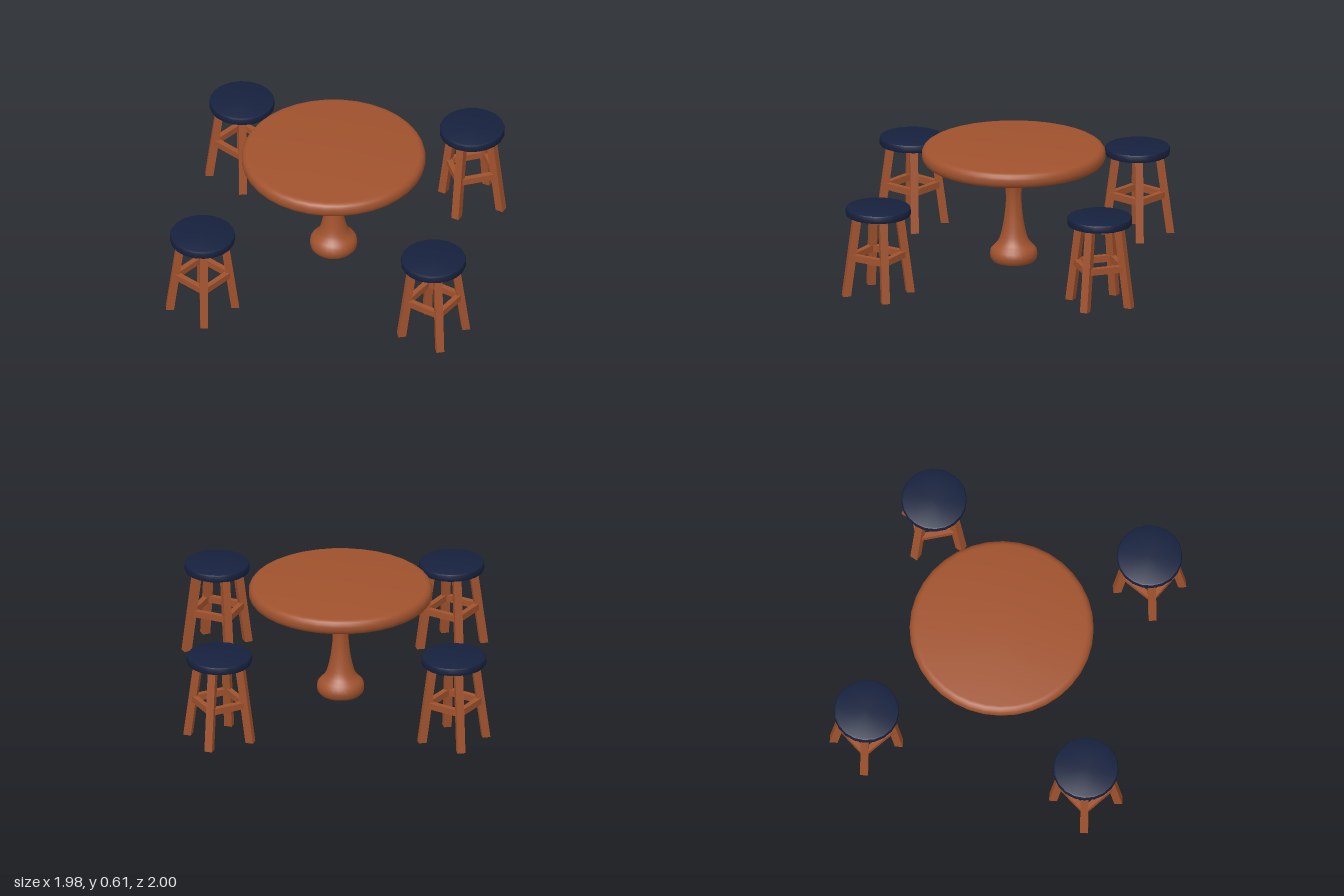
import * as THREE from 'three';
import { toCreasedNormals } from 'three/addons/utils/BufferGeometryUtils.js';

const wood = new THREE.MeshStandardMaterial({ color: 0xa0522d });
const navy = new THREE.MeshStandardMaterial({ color: 0x16213e });

const LEG_TOP = 0.425, FOOT_R = 0.165, HEAD_R = 0.108;

function addMesh(parent, name, geometry, material) {
  const mesh = new THREE.Mesh(geometry, material);
  mesh.name = name;
  parent.add(mesh);
  return mesh;
}

function lathe(points, sides) {
  const geometry = new THREE.LatheGeometry(points.map(([r, y]) => new THREE.Vector2(r, y)), sides);
  return toCreasedNormals(geometry, 0.75);
}

// Disc with a rounded rim, from y0 to y1
function roundedDisc(radius, y0, y1, round, sides, steps) {
  const points = [[0, y0]];
  for (const [cy, start] of [[y0 + round, -Math.PI / 2], [y1 - round, 0]]) {
    for (let i = 0; i <= steps; i++) {
      const a = start + (i / steps) * Math.PI / 2;
      points.push([radius - round + Math.cos(a) * round, cy + Math.sin(a) * round]);
    }
  }
  points.push([0, y1]);
  return lathe(points, sides);
}

function createTable() {
  const table = new THREE.Group();
  table.name = 'table';
  addMesh(table, 'tableTop', roundedDisc(0.465, 0.53, 0.61, 0.034, 36, 4), wood);

  // Turned pedestal: wide foot, slim waist, flared head
  const flare = new THREE.SplineCurve([
    [0.103, 0.085], [0.075, 0.12], [0.056, 0.19], [0.043, 0.28],
    [0.04, 0.36], [0.049, 0.43], [0.066, 0.49], [0.083, 0.535],
  ].map(([r, y]) => new THREE.Vector2(r, y)));
  const profile = [[0, 0.01], [0.105, 0.01], [0.117, 0.025], [0.12, 0.045], [0.116, 0.07],
    ...flare.getPoints(20).map((p) => [p.x, p.y]), [0, 0.535]];
  addMesh(table, 'pedestal', lathe(profile, 28), wood);
  return table;
}

// Square leg sheared outward so that the foot stays flat on the floor
function legGeometry() {
  const geometry = new THREE.BoxGeometry(0.04, LEG_TOP, 0.04).translate(0, LEG_TOP / 2, 0);
  const pos = geometry.attributes.position;
  for (let i = 0; i < pos.count; i++) {
    const lean = THREE.MathUtils.lerp(FOOT_R, HEAD_R, pos.getY(i) / LEG_TOP);
    pos.setX(i, pos.getX(i) + lean);
  }
  geometry.computeVertexNormals();
  return geometry;
}

function createStool() {
  const stool = new THREE.Group();
  addMesh(stool, 'seat', roundedDisc(0.165, 0.417, 0.46, 0.01, 20, 2), navy);

  const rungY = 0.203;
  const rungR = THREE.MathUtils.lerp(FOOT_R, HEAD_R, rungY / LEG_TOP);
  const leg = legGeometry();
  const rung = new THREE.BoxGeometry(0.028, 0.034, rungR * Math.SQRT2)
    .translate(rungR * Math.SQRT1_2, rungY, 0);
  for (let i = 0; i < 4; i++) {
    addMesh(stool, 'leg', leg, wood).rotation.y = i * Math.PI / 2;
    addMesh(stool, 'rung', rung, wood).rotation.y = (i + 0.5) * Math.PI / 2;
  }
  return stool;
}

export function createModel() {
  const model = new THREE.Group();
  model.name = 'tableWithStools';

  const table = createTable();
  table.position.set(0.005, 0, -0.045);
  model.add(table);

  // Each stool: name, x, z, turn in degrees
  for (const [name, x, z, turn] of [
    ['frontStool', 0.02, 0.818, -24],
    ['backStool', -0.01, -0.835, -33],
    ['leftStool', 0.815, 0.015, -63],
    ['rightStool', -0.82, -0.018, -32],
  ]) {
    const stool = createStool();
    stool.name = name;
    stool.position.set(x, 0, z);
    stool.rotation.y = THREE.MathUtils.degToRad(turn);
    model.add(stool);
  }
  return model;
}
